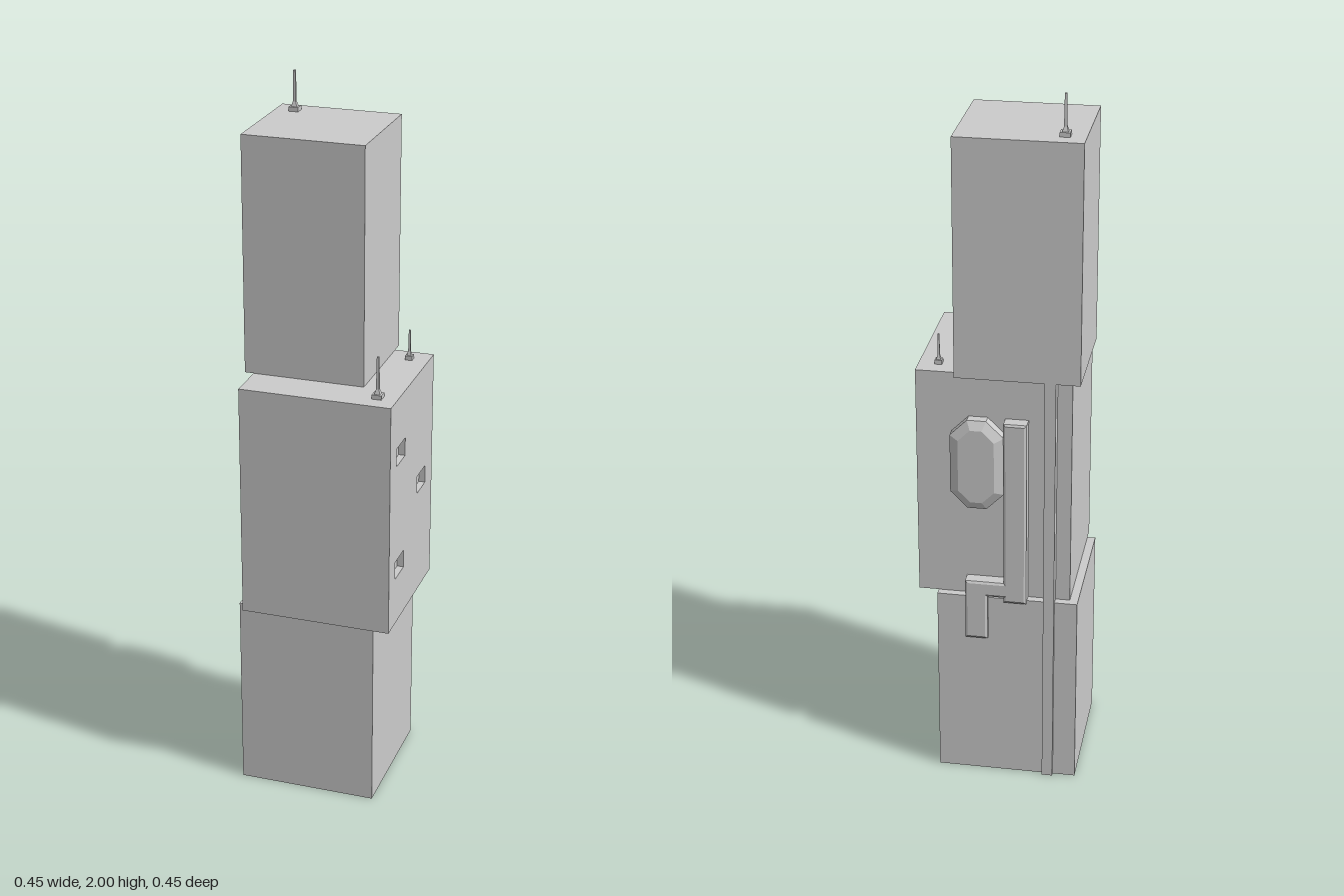
import * as THREE from 'three';

const material = new THREE.MeshStandardMaterial({ color: 0xcccccc, flatShading: true });

function addMesh(parent, name, geometry) {
  const mesh = new THREE.Mesh(geometry, material);
  mesh.name = name;
  parent.add(mesh);
  return mesh;
}

// Box given by its lower and upper limits on each axis
function addBlock(parent, name, [x0, x1], [y0, y1], [z0, z1]) {
  const mesh = addMesh(parent, name, new THREE.BoxGeometry(x1 - x0, y1 - y0, z1 - z0));
  mesh.position.set((x0 + x1) / 2, (y0 + y1) / 2, (z0 + z1) / 2);
  return mesh;
}

function polygon(points) {
  return new THREE.Shape(points.map(([x, y]) => new THREE.Vector2(x, y)));
}

// Plate on the back wall with a bevelled outer edge; its inner edge is buried
function addBackPlate(parent, name, points, zBack, bevelSize, bevelThickness) {
  const geometry = new THREE.ExtrudeGeometry(polygon(points), {
    depth: -0.17 - zBack - 2 * bevelThickness,
    bevelEnabled: true, bevelSegments: 1, bevelSize, bevelThickness, bevelOffset: -bevelSize,
  });
  geometry.translate(0, 0, zBack + bevelThickness);
  return addMesh(parent, name, geometry);
}

// Square foot with a flared, tapering four-sided mast
function addAntenna(parent, x, y, z, height, size) {
  const antenna = new THREE.Group();
  antenna.name = 'antenna';
  antenna.position.set(x, y, z);
  addBlock(antenna, 'antennaFoot', [-size / 2, size / 2], [0, 0.012], [-size / 2, size / 2]);
  const frustum = (name, top, bottom, y0, y1) => {
    const g = new THREE.CylinderGeometry(top * Math.SQRT1_2, bottom * Math.SQRT1_2, y1 - y0, 4);
    g.rotateY(Math.PI / 4);
    g.translate(0, (y0 + y1) / 2, 0);
    addMesh(antenna, name, g);
  };
  frustum('antennaFlare', size * 0.3, size * 0.6, 0.012, 0.025);
  frustum('antennaMast', size * 0.22, size * 0.3, 0.025, height);
  parent.add(antenna);
}

export function createModel() {
  const model = new THREE.Group();
  model.name = 'tower';

  // Three stacked, offset blocks
  addBlock(model, 'lowerBlock', [-0.223, 0.168], [0, 0.565], [-0.203, 0.185]);
  addBlock(model, 'middleBlock', [-0.2, 0.205], [0.565, 1.23], [-0.181, 0.222]);
  addBlock(model, 'upperBlock', [-0.225, 0.112], [1.23, 1.89], [-0.215, 0.105]);

  // Side wall of the middle block with recessed windows
  const wall = polygon([[-0.222, 0.565], [0.181, 0.565], [0.181, 1.23], [-0.222, 1.23]]);
  for (const [z, y] of [[0.126, 1.065], [-0.075, 0.897], [0.126, 0.729]]) {
    const w = 0.04, h = 0.026;
    wall.holes.push(polygon([[-z - w, y - h], [-z - w, y + h], [-z + w, y + h], [-z + w, y - h]]));
  }
  const wallGeometry = new THREE.ExtrudeGeometry(wall, { depth: 0.018, bevelEnabled: false });
  wallGeometry.rotateY(Math.PI / 2);
  addMesh(model, 'windowWall', wallGeometry).position.x = 0.205;

  // Vertical pipe running up the back
  addBlock(model, 'backPipe', [-0.16, -0.13], [0, 1.23], [-0.214, -0.17]);

  // Duct strip with an arm that bends down over the lower block
  addBackPlate(model, 'backDuct', [
    [-0.083, 0.56], [-0.02, 0.56], [-0.02, 0.575], [0.025, 0.575], [0.025, 0.44],
    [0.087, 0.44], [0.087, 0.62], [-0.02, 0.62], [-0.02, 1.105], [-0.083, 1.105],
  ], -0.219, 0.006, 0.004);

  // Octagonal housing with bevelled rim
  const [x0, x1, y0, y1, c] = [-0.02, 0.126, 0.845, 1.107, 0.047];
  addBackPlate(model, 'backHousing', [
    [x0 + c, y0], [x1 - c, y0], [x1, y0 + c], [x1, y1 - c],
    [x1 - c, y1], [x0 + c, y1], [x0, y1 - c], [x0, y0 + c],
  ], -0.225, 0.024, 0.014);

  // Roof antennas
  addAntenna(model, -0.17, 1.89, -0.16, 0.11, 0.027);
  addAntenna(model, 0.169, 1.23, 0.163, 0.115, 0.027);
  addAntenna(model, 0.169, 1.23, -0.127, 0.085, 0.02);

  return model;
}
